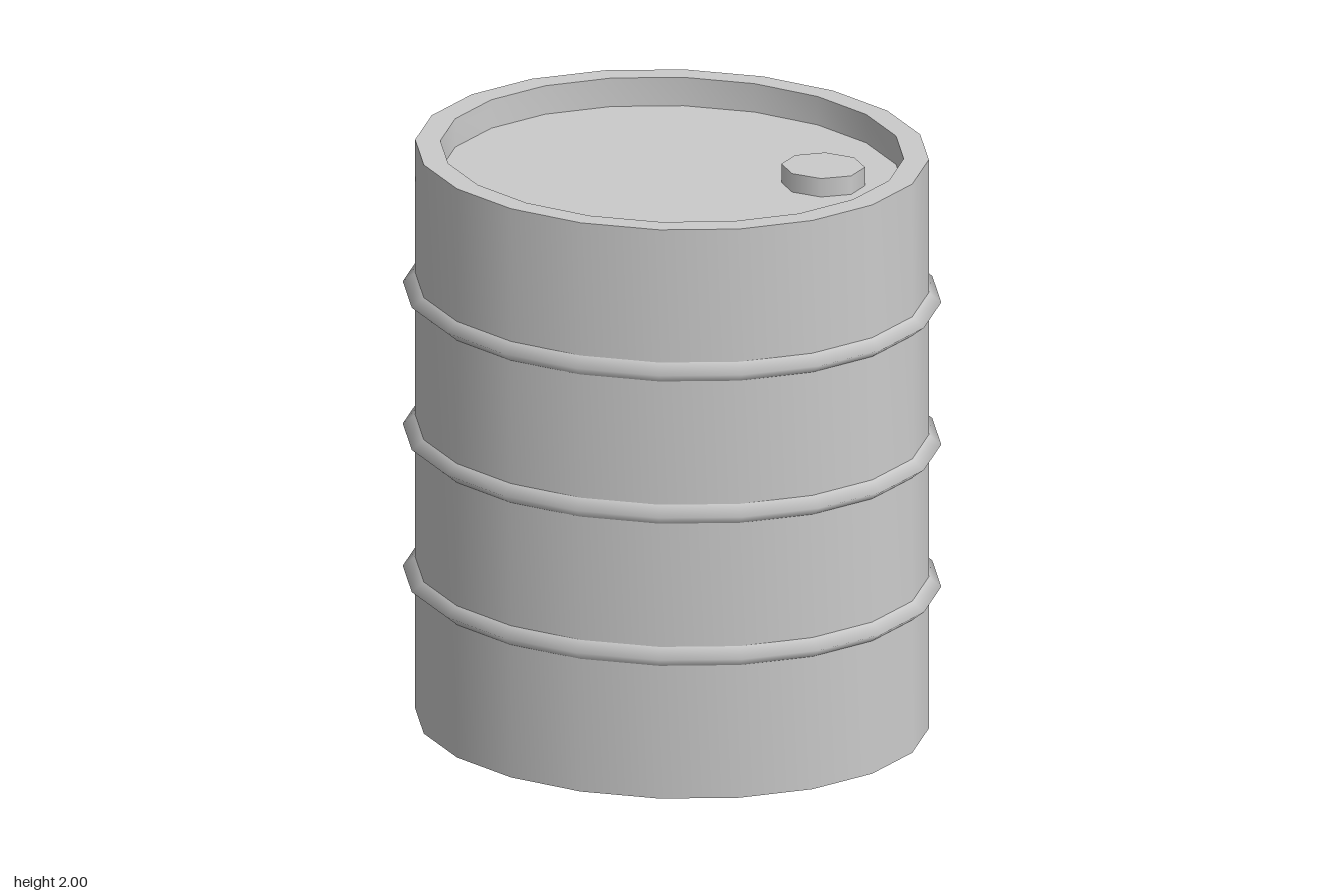
import * as THREE from 'three';
import { toCreasedNormals } from 'three/addons/utils/BufferGeometryUtils.js';

const SIDES = 20;
const DEPTH_RATIO = 0.63; // oval cross-section: z radius / x radius

export function createModel() {
  const group = new THREE.Group();
  const material = new THREE.MeshStandardMaterial({ color: 0xcccccc });

  const add = (name, geometry, x = 0, y = 0) => {
    const mesh = new THREE.Mesh(geometry, material);
    mesh.name = name;
    mesh.position.set(x, y, 0);
    group.add(mesh);
  };

  // Lathe squashed along z into an oval
  const ovalLathe = (profile) =>
    new THREE.LatheGeometry(profile.map(([r, y]) => new THREE.Vector2(r, y)), SIDES)
      .scale(1, 1, DEPTH_RATIO);

  // Drum shell with recessed lid and base inside raised rims
  const shell = ovalLathe([
    [0, 0.1], [0.71, 0.1], [0.71, 0], [0.787, 0],
    [0.787, 2], [0.71, 2], [0.71, 1.9], [0, 1.9],
  ]);
  add('drumBody', toCreasedNormals(shell, 0.7));

  // Three pointed reinforcing hoops
  ['lowerHoop', 'middleHoop', 'upperHoop'].forEach((name, i) => {
    add(name, ovalLathe([[0.785, -0.035], [0.825, 0], [0.785, 0.035]]), 0, 0.5 * (i + 1));
  });

  // Oval filler cap on the lid
  const cap = new THREE.CylinderGeometry(0.128, 0.128, 0.07, 8).scale(1, 1, DEPTH_RATIO);
  add('fillerCap', cap, 0.463, 1.93);

  return group;
}
